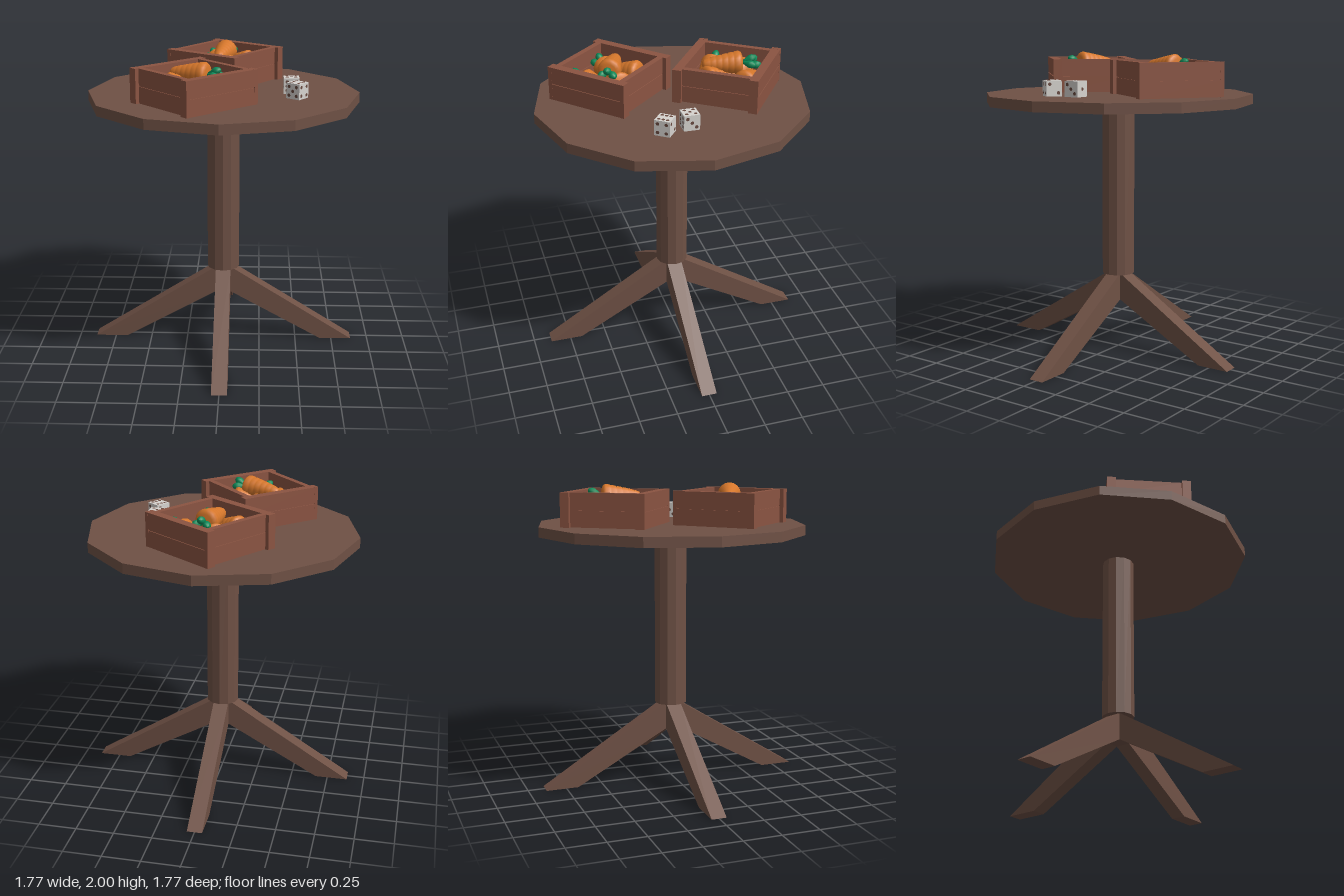
import * as THREE from 'three';

const mat = (name, color, flatShading = false) => {
  const m = new THREE.MeshStandardMaterial({ color, flatShading });
  m.name = name;
  return m;
};

const TOP = 1.735; // height of the table surface

export function createModel() {
  const tableWood = mat('tableWood', 0x6f5145, true);
  const crateWood = mat('crateWood', 0x8b5442, true);
  const orange = mat('carrotOrange', 0xd6772b);
  const green = mat('leafGreen', 0x0c8a58);
  const ivory = mat('diceIvory', 0xd6d3cf, true);
  const pipBrown = mat('pipBrown', 0x694a40, true);

  const model = new THREE.Group();
  model.name = 'gameTable';

  const add = (parent, name, geometry, material, x = 0, y = 0, z = 0) => {
    const mesh = new THREE.Mesh(geometry, material);
    mesh.name = name;
    mesh.position.set(x, y, z);
    parent.add(mesh);
    return mesh;
  };
  const box = (parent, name, w, h, d, x, y, z) =>
    add(parent, name, new THREE.BoxGeometry(w, h, d), crateWood, x, y, z);

  // Table: twelve-sided top, post and four splayed legs
  add(model, 'tableTop', new THREE.CylinderGeometry(0.885, 0.885, 0.065, 12), tableWood, 0, TOP - 0.0325, 0);
  add(model, 'post', new THREE.CylinderGeometry(0.107, 0.107, 1.16, 12), tableWood, 0, 1.1, 0);
  const legShape = new THREE.Shape(
    [[0, 0.35], [0.05, 0.345], [0.67, 0], [0.885, 0], [0.06, 0.52], [0, 0.52]].map(p => new THREE.Vector2(...p)));
  const legGeo = new THREE.ExtrudeGeometry(legShape, { depth: 0.1, bevelEnabled: false });
  legGeo.translate(0, 0, -0.05);
  for (let i = 0; i < 4; i++) add(model, 'leg', legGeo, tableWood).rotation.y = i * Math.PI / 2;

  // Carrot root: ridged profile, crown at the origin and tip at -y
  const L = 0.26, RINGS = 6;
  const profile = [new THREE.Vector2(0, -L), new THREE.Vector2(0.018, -L + 0.004)];
  for (let i = 0; i < RINGS; i++) {
    const radius = t => 0.03 + 0.045 * Math.pow(t, 0.75);
    const t0 = i / RINGS, t1 = (i + 1) / RINGS;
    const y = t => -L + 0.012 + t * (L - 0.03);
    profile.push(new THREE.Vector2(radius(t0) - 0.004, y(t0)));
    profile.push(new THREE.Vector2(radius(t0) + 0.002, y(t0) + 0.006));
    profile.push(new THREE.Vector2(radius(t1), y(t1) - 0.005));
  }
  profile.push(new THREE.Vector2(0.066, -0.008), new THREE.Vector2(0.045, 0), new THREE.Vector2(0, 0.002));
  const rootGeo = new THREE.LatheGeometry(profile, 16);

  // Leaf: plump pointed lobe growing from the origin
  const leafGeo = new THREE.LatheGeometry(
    [[0, 0], [0.009, 0.004], [0.013, 0.025], [0.025, 0.055], [0.024, 0.075], [0.013, 0.093], [0, 0.098]]
      .map(p => new THREE.Vector2(...p)), 10);

  function carrot(parent, crown, tip) {
    const g = new THREE.Group();
    g.name = 'carrot';
    const a = new THREE.Vector3(...crown);
    const dir = a.clone().sub(new THREE.Vector3(...tip)).normalize();
    // Local x lies level, so the leaves fan out sideways
    const side = new THREE.Vector3(0, 1, 0).cross(dir).normalize();
    const up = side.clone().cross(dir);
    g.quaternion.setFromRotationMatrix(new THREE.Matrix4().makeBasis(side, dir, up));
    g.position.copy(a);
    add(g, 'carrotRoot', rootGeo, orange);
    [[-0.55, 0.1], [0, -0.35], [0.55, 0.1]].forEach(([fan, lift]) => {
      const leaf = add(g, 'carrotLeaf', leafGeo, green, 0, -0.004, 0);
      leaf.rotation.set(lift, 0, fan);
    });
    parent.add(g);
  }

  // Crate: two planks on each side, corner battens, floor and five carrots
  function crate(x, z, turn) {
    const g = new THREE.Group();
    g.name = 'crate';
    g.position.set(x, TOP, z);
    g.rotation.y = turn;
    box(g, 'crateFloor', 0.5, 0.02, 0.5, 0, 0.011, 0);
    for (const s of [-1, 1]) {
      for (const y of [0.0535, 0.1665]) {
        box(g, 'sidePlank', 0.038, 0.106, 0.44, s * 0.2375, y, 0);
        box(g, 'endPlank', 0.515, 0.106, 0.057, 0, y, s * 0.248);
      }
      // Recessed strips closing the gaps between planks
      box(g, 'sideBacking', 0.026, 0.2, 0.44, s * 0.2375, 0.11, 0);
      box(g, 'endBacking', 0.515, 0.2, 0.045, 0, 0.11, s * 0.248);
      for (const t of [-1, 1]) box(g, 'cornerBatten', 0.026, 0.22, 0.058, s * 0.2695, 0.11, t * 0.248);
    }
    carrot(g, [-0.15, 0.125, -0.087], [0.062, 0.075, 0.054]);
    carrot(g, [0.118, 0.125, -0.14], [-0.13, 0.08, -0.15]);
    carrot(g, [-0.135, 0.125, 0.137], [0.113, 0.08, 0.134]);
    carrot(g, [0.135, 0.125, 0.113], [-0.078, 0.09, -0.02]);
    carrot(g, [-0.047, 0.19, -0.083], [0.056, 0.18, 0.152]);
    model.add(g);
  }
  crate(0.001, -0.372, -0.618);
  crate(-0.172, 0.356, -2.393);

  // Dice: pips are thin discs set out on each face
  const c = 0.028;
  const diagonal = [[-c, c], [c, -c]], corners = [...diagonal, [c, c], [-c, -c]];
  const layouts = [[], [[0, 0]], diagonal, [[0, 0], ...diagonal], corners,
    [[0, 0], ...corners], [...corners, [-c, 0], [c, 0]]];
  const pipGeo = new THREE.CircleGeometry(0.0115, 8);
  const Q = Math.PI / 2;
  const turns = [[-Q, 0], [Q, 0], [0, 0], [0, Math.PI], [0, Q], [0, -Q]]; // top, bottom, front, back, +x, -x

  function die(x, z, turn, values) {
    const g = new THREE.Group();
    g.name = 'die';
    g.position.set(x, TOP + 0.05, z);
    g.rotation.y = turn;
    add(g, 'dieBody', new THREE.BoxGeometry(0.1, 0.1, 0.1), ivory);
    turns.forEach(([rx, ry], i) => {
      const face = new THREE.Group();
      face.name = 'dieFace';
      face.rotation.set(rx, ry, 0);
      for (const [px, py] of layouts[values[i]]) add(face, 'pip', pipGeo, pipBrown, px, py, 0.0512);
      g.add(face);
    });
    model.add(g);
  }
  die(0.44, 0.014, 0, [5, 2, 6, 1, 3, 4]);
  die(0.473, 0.178, -0.65, [6, 1, 5, 2, 4, 3]);

  return model;
}
